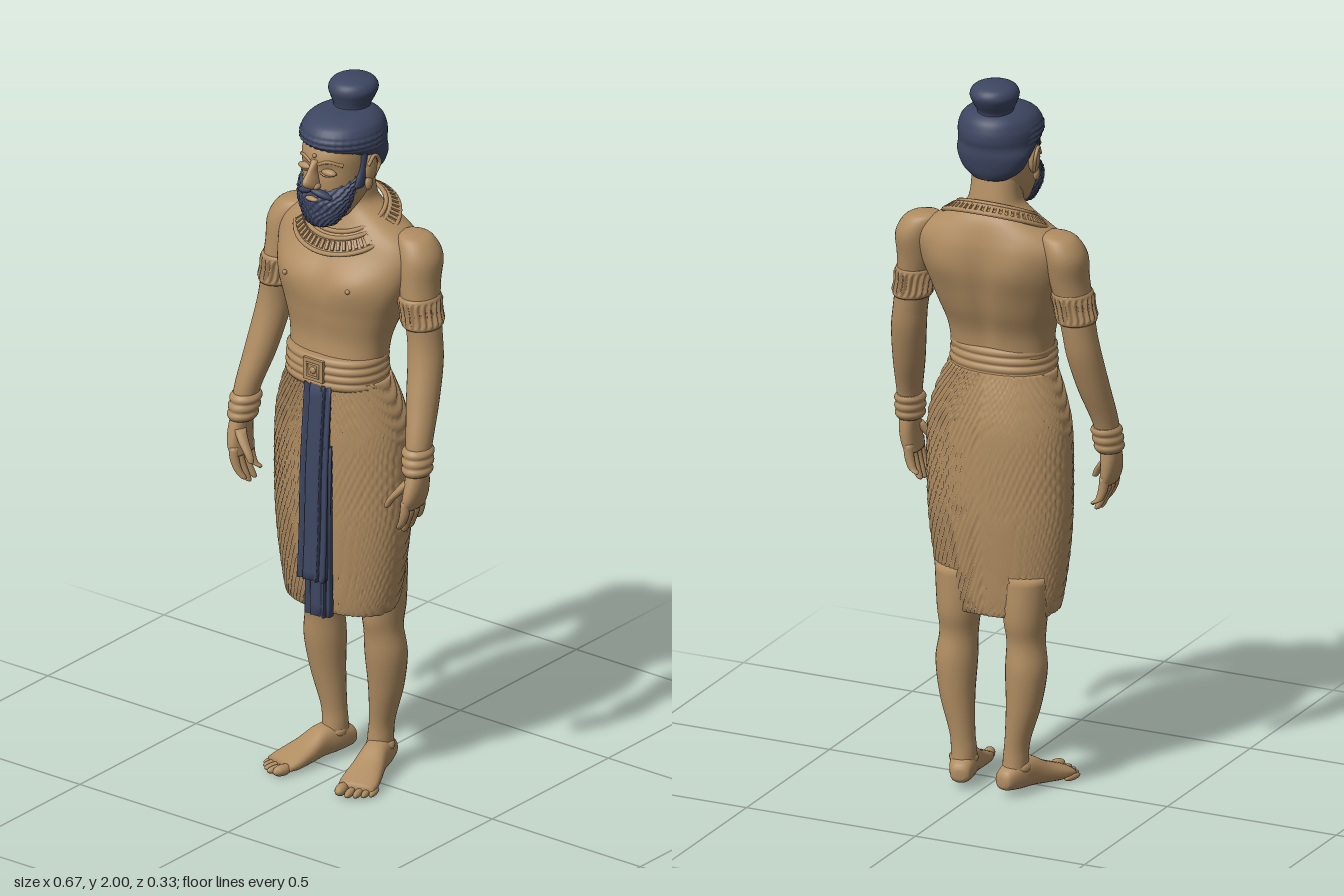
import * as THREE from 'three';

const MID = -0.0125; // body centre line
const tan = new THREE.MeshStandardMaterial({ color: 0xb08d62 });
tan.name = 'tan stone';
const navy = new THREE.MeshStandardMaterial({ color: 0x3d4661 });
navy.name = 'navy hair and cloth';

const V = (x, y, z) => new THREE.Vector3(x, y, z);
const bell = (t, w) => Math.exp(-(t * t) / (w * w));

// Closed smooth skin over horizontal rings [x, y, z, rx, rz]; bump moves the skin outward
function loft(rings, { seg = 28, steps = 24, p = 2, bump = null } = {}) {
  const list = rings[0][1] > rings[rings.length - 1][1] ? [...rings].reverse() : rings;
  const spine = new THREE.CatmullRomCurve3(list.map(r => V(r[0], r[1], r[2])), false, 'catmullrom');
  const size = new THREE.CatmullRomCurve3(list.map(r => V(r[3], r[4], 0)), false, 'catmullrom');
  const pos = [], idx = [];
  const pow = c => Math.sign(c) * Math.abs(c) ** (2 / p);
  for (let i = 0; i <= steps; i++) {
    const c = spine.getPoint(i / steps), s = size.getPoint(i / steps);
    for (let j = 0; j < seg; j++) {
      const a = (j / seg) * Math.PI * 2, cx = pow(Math.cos(a)), cz = pow(Math.sin(a));
      const d = bump ? bump(a, c.y, cx * s.x, cz * s.y) : 0;
      pos.push(c.x + cx * (s.x + d), c.y, c.z + cz * (s.y + d));
      const k = (j + 1) % seg, A = i * seg + j, B = i * seg + k;
      if (i < steps) idx.push(A, A + seg, B, B, A + seg, B + seg);
    }
  }
  const n = pos.length / 3, top = steps * seg;
  for (const t of [0, 1]) pos.push(...spine.getPoint(t).toArray());
  for (let j = 0; j < seg; j++) {
    const k = (j + 1) % seg;
    idx.push(n, j, k, n + 1, top + k, top + j);
  }
  const g = new THREE.BufferGeometry();
  g.setAttribute('position', new THREE.Float32BufferAttribute(pos, 3));
  g.setIndex(idx);
  g.computeVertexNormals();
  return g;
}

export function createModel() {
  const model = new THREE.Group();
  const add = (name, geo, mat = tan, parent = model) => {
    const m = new THREE.Mesh(geo, mat);
    m.name = name;
    parent.add(m);
    return m;
  };
  const blob = (name, at, r, mat = tan, parent = model) => {
    const m = add(name, new THREE.SphereGeometry(1, 14, 10), mat, parent);
    m.position.set(...at);
    m.scale.set(...r);
    return m;
  };
  const tube = (name, pts, r, closed = false) =>
    add(name, new THREE.TubeGeometry(new THREE.CatmullRomCurve3(pts, closed), closed ? 72 : 14, r, 8, closed));

  // Torso with chest, spine groove and shoulder blades
  add('torso', loft([
    [-.012, 1.15, .005, .145, .095], [-.012, 1.22, .005, .143, .095], [-.013, 1.29, -.004, .15, .095],
    [-.013, 1.36, -.015, .172, .113], [-.013, 1.42, -.022, .193, .124], [-.013, 1.48, -.037, .212, .122],
    [-.014, 1.54, -.054, .222, .106], [-.015, 1.58, -.06, .198, .094], [-.018, 1.62, -.062, .135, .08],
    [-.02, 1.655, -.057, .082, .066], [-.02, 1.69, -.052, .069, .063], [-.02, 1.75, -.04, .069, .063]],
    { seg: 72, steps: 60, p: 2.3, bump: (a, y, x, z) => z > 0
      ? .013 * bell(Math.abs(x) - .085, .07) * bell(y - 1.465, .045) - .006 * bell(x, .012) * bell(y - 1.38, .12)
      : .01 * bell(Math.abs(x) - .1, .05) * bell(y - 1.5, .07) - .016 * bell(x, .028) * bell(y - 1.4, .15) }));

  // Collar: wide sloping band between rims, set with studs
  const rim = (a, k) => {
    const c = Math.cos(a), s = Math.sin(a), mix = (p, q) => p + (q - p) * k;
    return V(-.019 + c * mix(.108, .15), mix(1.632, 1.598) - s * mix(.042, .06),
      mix(-.043, -.039) + s * mix(.086, .12));
  };
  const loop = (k, n) => Array.from({ length: n }, (_, i) => rim((i / n) * Math.PI * 2, k));
  for (const k of [0, .3, 1]) tube('collarRim', loop(k, 32), .0065, true);
  const bandPos = [], bandIdx = [];
  for (let i = 0; i <= 72; i++) {
    const a = (i / 72) * Math.PI * 2;
    bandPos.push(...rim(a, 0).toArray(), ...rim(a, 1).toArray());
    if (i < 72) bandIdx.push(2 * i, 2 * i + 2, 2 * i + 1, 2 * i + 1, 2 * i + 2, 2 * i + 3);
  }
  const band = new THREE.BufferGeometry();
  band.setAttribute('position', new THREE.Float32BufferAttribute(bandPos, 3));
  band.setIndex(bandIdx);
  band.computeVertexNormals();
  add('collarBand', band);
  for (let i = 0; i < 52; i++) {
    const a = (i / 52) * Math.PI * 2;
    const out = rim(a, 1).sub(rim(a, 0)).normalize();
    const along = rim(a + .01, .6).sub(rim(a - .01, .6)).normalize();
    const up = V(0, 0, 0).crossVectors(along, out).normalize();
    const stud = add('collarStud', new THREE.BoxGeometry(.009, .012, .026));
    stud.quaternion.setFromRotationMatrix(new THREE.Matrix4().makeBasis(along, up, V(0, 0, 0).crossVectors(along, up)));
    stud.position.copy(rim(a, .64));
  }

  // Wrapped skirt: folds hang in curves at the sides and run upright at front and back
  add('skirt', loft([
    [-.015, .505, -.012, .15, .095], [-.015, .515, -.012, .164, .106], [-.014, .65, -.012, .188, .116],
    [-.012, .8, -.012, .201, .123], [-.01, 1, -.01, .2, .123], [-.01, 1.1, -.004, .179, .115],
    [-.011, 1.18, .005, .146, .104]],
    { seg: 240, steps: 66, p: 2.2, bump: (a, y) => {
      const t = Math.abs(Math.asin(Math.sin(a))) / (Math.PI / 2);
      return .008 * Math.abs(Math.sin((y - .48 * t ** 1.9) * 82)) ** .7 - .003;
    } }));

  // Ridged belt and square buckle
  add('belt', loft([[-.012, 1.16, .009, .146, .106], [-.012, 1.205, .011, .144, .106], [-.012, 1.25, .01, .142, .102]],
    { seg: 64, steps: 32, p: 2.2, bump: (a, y) => .005 * Math.abs(Math.sin((y - 1.16) * Math.PI / .0225)) }));
  add('buckle', new THREE.BoxGeometry(.066, .062, .02)).position.set(-.008, 1.212, .115);
  add('buckleFrame', new THREE.TorusGeometry(.026, .004, 6, 4).rotateZ(Math.PI / 4)).position.set(-.008, 1.212, .126);
  blob('buckleBoss', [-.008, 1.212, .125], [.01, .01, .006]);

  // Pleated front cloth in two layers
  const pleat = (a, y, x, z) => z > 0 ? .005 * Math.sin(x * 330) : 0;
  add('frontCloth', loft([[.002, .615, .138, .043, .018], [.002, .75, .131, .042, .017],
    [0, .95, .123, .042, .016], [0, 1.172, .107, .041, .014]], { seg: 96, steps: 18, p: 4, bump: pleat }), navy);
  add('underCloth', loft([[.01, .505, .116, .038, .018], [.01, .7, .118, .038, .014], [.006, 1, .115, .042, .012]],
    { seg: 96, steps: 12, p: 4, bump: pleat }), navy);

  // Limbs, mirrored about the centre line
  for (const s of [1, -1]) {
    const side = s > 0 ? 'left' : 'right';
    const part = (name, rings, opt) =>
      add(side + name, loft(rings.map(([x, ...r]) => [MID + s * x, ...r]), opt));

    part('Arm', [[.185, 1.602, -.068, .02, .025], [.2, 1.588, -.068, .048, .05], [.22, 1.54, -.065, .057, .066],
      [.225, 1.47, -.055, .053, .062], [.237, 1.4, -.047, .048, .057], [.25, 1.32, -.045, .046, .051],
      [.26, 1.25, -.035, .047, .05], [.274, 1.15, -.005, .043, .047], [.29, 1.05, .03, .034, .04],
      [.295, .97, .045, .027, .035]], { steps: 45 });
    part('Armlet', [[.243, 1.352, -.046, .05, .058], [.242, 1.362, -.046, .054, .062], [.236, 1.395, -.047, .052, .061],
      [.231, 1.428, -.048, .055, .064], [.23, 1.438, -.049, .051, .061]],
      { seg: 120, steps: 16, bump: (a, y) => Math.abs(y - 1.395) < .028 ? .004 * Math.sin(a * 20) : 0 });
    part('Bracelet', [[.295, .965, .046, .033, .039], [.294, .985, .043, .036, .042], [.291, 1.02, .037, .037, .043],
      [.29, 1.038, .033, .035, .042]], { seg: 36, steps: 30, bump: (a, y) => .005 * Math.abs(Math.sin((y - .965) * 129)) });

    // Hand: palm faces the thigh, fingers hang and curl
    part('Palm', [[.295, .985, .045, .026, .032], [.298, .94, .05, .025, .042], [.295, .9, .055, .022, .047],
      [.288, .87, .056, .018, .044]], { p: 2.3, steps: 15 });
    [.022, .045, .068, .09].forEach((z, i) => {
      const end = [.815, .795, .792, .805][i];
      part('Finger', [[.29, .895, z, .013, .013], [.287, .86, z, .0135, .0125], [.277, .83, z - .003, .0115, .011],
        [.264, end + .006, z - .008, .009, .009], [.261, end, z - .009, .003, .003]], { seg: 12, steps: 12 });
    });
    part('Thumb', [[.285, .945, .07, .016, .018], [.262, .915, .083, .014, .015], [.24, .888, .09, .011, .012],
      [.23, .868, .092, .008, .009], [.228, .864, .092, .003, .003]], { seg: 14, steps: 12 });

    part('Leg', [[.1, .62, -.055, .066, .07], [.098, .5, -.062, .058, .066], [.099, .43, -.06, .051, .058],
      [.103, .35, -.066, .056, .06], [.098, .25, -.072, .047, .05], [.082, .15, -.076, .034, .038],
      [.077, .1, -.076, .034, .038], [.076, .05, -.076, .034, .044]], { steps: 42,
      bump: (a, y, x, z) => z > 0 ? .007 * bell(y - .46, .035) * bell(x, .03) : 0 });

    // Foot turned outward, lofted heel to toe
    const foot = new THREE.Group();
    foot.name = side + 'Foot';
    foot.position.set(MID + s * .1, 0, 0);
    foot.rotation.y = s * .28;
    model.add(foot);
    add('footBody', loft([[0, -.14, -.045, .014, .014], [0, -.128, -.048, .028, .028], [0, -.08, -.055, .037, .042],
      [0, -.03, -.052, .038, .042], [0, .02, -.036, .046, .031], [0, .07, -.024, .053, .022], [0, .105, -.018, .05, .014]],
      { p: 2.4, steps: 30 }).rotateX(Math.PI / 2), tan, foot);
    for (let i = 0; i < 5; i++) {
      const r = i ? .0115 - i * .0006 : .016;
      blob('toe', [s * [-.034, -.009, .012, .031, .048][i], r + .001, [.118, .12, .113, .103, .09][i]],
        [r, r, .03], tan, foot);
    }
    for (const x of [-.01, .01]) blob('ankle', [x, .075, -.075], [.03, .02, .03], tan, foot);

    // Face and chest details on each side
    const X = x => -.02 + s * x;
    blob(side + 'Nipple', [X(.106), 1.455, .095], [.007, .007, .007]);
    blob(side + 'Eyelid', [X(.039), 1.783, .09], [.024, .01, .013]);
    tube(side + 'EyeCrease', [V(X(.016), 1.781, .1), V(X(.039), 1.775, .1), V(X(.062), 1.781, .083)], .0025);
    tube(side + 'Brow', [V(X(.01), 1.803, .101), V(X(.038), 1.814, .094), V(X(.07), 1.803, .068)], .005);
    blob(side + 'Nostril', [X(.016), 1.745, .113], [.01, .009, .014]);
    blob(side + 'Ear', [X(.095), 1.78, -.018], [.014, .042, .024]);
    blob(side + 'EarLobe', [X(.097), 1.735, -.008], [.009, .02, .013]);
    tube(side + 'EarRim', [V(X(.1), 1.75, -.028), V(X(.109), 1.79, -.04), V(X(.108), 1.815, -.02),
      V(X(.103), 1.79, .002)], .005);
    add(side + 'Sideburn', loft([[X(.082), 1.73, .02, .013, .026], [X(.086), 1.78, .006, .011, .014],
      [X(.09), 1.84, .002, .011, .012]], { seg: 16, steps: 12 }), navy);
    const wing = blob(side + 'Moustache', [X(.026), 1.723, .106], [.034, .01, .013], navy);
    wing.rotation.set(0, s * .35, -s * .35);
  }

  // Head, nose and mouth
  add('head', loft([[-.02, 1.64, .03, .05, .05], [-.02, 1.68, .012, .07, .084], [-.02, 1.72, 0, .083, .101],
    [-.02, 1.77, -.006, .089, .108], [-.02, 1.82, -.008, .091, .11], [-.02, 1.87, -.02, .088, .1]],
    { seg: 48, p: 2.15, bump: (a, y, x, z) => z > 0 ? -.007 * bell(Math.abs(x) - .036, .02) * bell(y - 1.788, .014) : 0 }));
  add('nose', loft([[-.02, 1.735, .106, .014, .014], [-.02, 1.745, .114, .019, .027], [-.02, 1.762, .115, .016, .035],
    [-.02, 1.788, .107, .01, .022], [-.02, 1.815, .096, .012, .012]]));
  blob('foreheadMark', [-.02, 1.826, .102], [.006, .006, .005]);
  blob('lowerLip', [-.02, 1.705, .114], [.021, .007, .01]);

  // Curly beard
  add('beard', loft([[-.02, 1.616, .075, .018, .016], [-.02, 1.63, .071, .046, .036], [-.02, 1.67, .06, .072, .055],
    [-.02, 1.705, .053, .083, .06], [-.02, 1.735, .042, .086, .052], [-.02, 1.765, .018, .087, .035]],
    { seg: 100, steps: 40, bump: (a, y) => .0045 * Math.sin(a * 20 + Math.sin(y * 140)) * Math.sin(y * 300) }), navy);

  // Hair: ridged band of curls in front, smooth crown, topknot
  add('hair', loft([[-.02, 1.735, -.085, .05, .035], [-.02, 1.76, -.074, .084, .058], [-.019, 1.8, -.063, .103, .078],
    [-.018, 1.83, -.034, .107, .107], [-.018, 1.85, -.023, .109, .121], [-.018, 1.875, -.022, .109, .121],
    [-.018, 1.9, -.026, .097, .107], [-.019, 1.917, -.035, .068, .073], [-.02, 1.922, -.045, .03, .03]],
    { seg: 108, steps: 56, bump: (a, y, x, z) =>
      .005 * bell(y - 1.852, .024) * (z > -.03 ? Math.abs(Math.sin((y - 1.83) * 210)) + .3 * Math.sin(a * 36) : .5) }), navy);
  add('topknot', loft([[-.022, 1.9, -.06, .055, .055], [-.023, 1.92, -.064, .049, .051], [-.024, 1.945, -.069, .059, .062],
    [-.024, 1.968, -.071, .066, .07], [-.024, 1.988, -.071, .056, .059], [-.024, 1.998, -.071, .03, .032],
    [-.024, 2, -.071, .008, .008]], { seg: 36, steps: 30 }), navy);

  return model;
}
